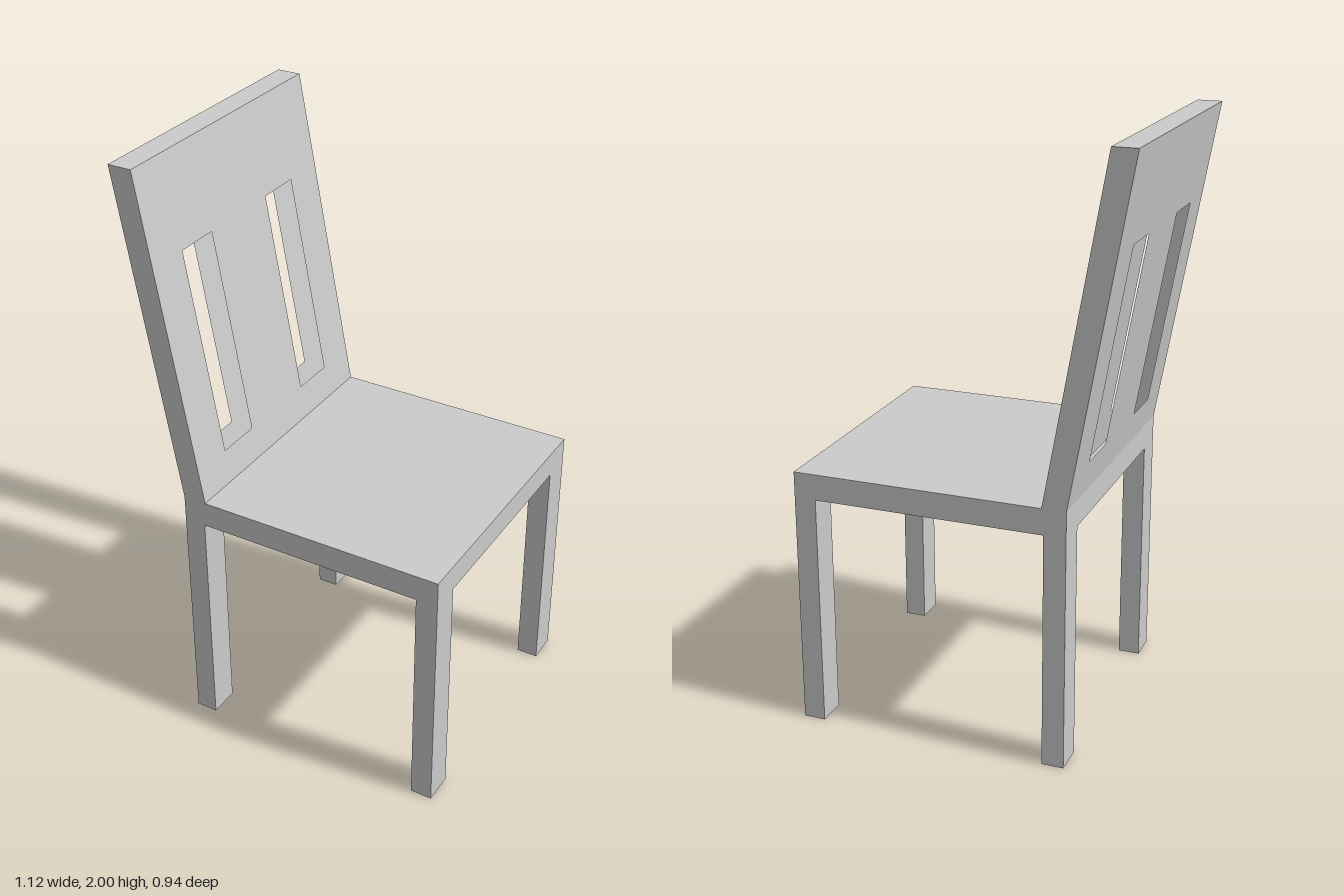
import * as THREE from 'three';

const SEAT_TOP = 0.888, SEAT_BOTTOM = 0.8, HALF = 0.468;
const LEG_X = 0.074, LEG_Z = 0.105;
const BACK_X = -0.365, FRONT_X = 0.562;

const material = new THREE.MeshStandardMaterial({ color: 0xcccccc, side: THREE.DoubleSide, flatShading: true });

function rectangle(x0, y0, x1, y1, Type = THREE.Shape) {
  return new Type([[x0, y0], [x1, y0], [x1, y1], [x0, y1]].map(p => new THREE.Vector2(...p)));
}

// Flat sheet spanning the full width between two side-profile points (x, y).
// Its outer face is on the left of the direction of travel.
function sheet(name, [ax, ay], [bx, by], slots = []) {
  const shape = rectangle(-HALF, 0, HALF, 1);
  for (const [z0, z1, y0, y1] of slots) {
    const t0 = (y0 - ay) / (by - ay), t1 = (y1 - ay) / (by - ay);
    shape.holes.push(rectangle(z0, t0, z1, t1, THREE.Path));
  }
  const geometry = new THREE.ShapeGeometry(shape);
  const pos = geometry.attributes.position;
  for (let i = 0; i < pos.count; i++) {
    const z = pos.getX(i), t = pos.getY(i);
    pos.setXYZ(i, ax + (bx - ax) * t, ay + (by - ay) * t, z);
  }
  geometry.computeVertexNormals();
  const mesh = new THREE.Mesh(geometry, material);
  mesh.name = name;
  return mesh;
}

export function createModel() {
  const chair = new THREE.Group();
  chair.name = 'chair';

  // Side profile of the hollow seat and leaning backrest
  const profile = [
    [-0.563, 2], [-0.481, 2], [-0.284, SEAT_TOP], [FRONT_X, SEAT_TOP],
    [FRONT_X, SEAT_BOTTOM], [BACK_X, SEAT_BOTTOM], [BACK_X, SEAT_TOP],
  ];
  const [topRear, topFront, seatRear, seatFront, frontLow, rearLow, rearHigh] = profile;

  // Two slots cut through both skins of the backrest, without inner walls
  const slots = [[-0.313, -0.156, 1, 1.69], [0.156, 0.315, 1, 1.69]];
  chair.add(
    sheet('backrestTop', topRear, topFront),
    sheet('backrestFront', topFront, seatRear, slots),
    sheet('backrestRear', rearHigh, topRear, slots),
    sheet('seatTop', seatRear, seatFront),
    sheet('seatFrontEdge', seatFront, frontLow),
    sheet('seatRearEdge', rearLow, rearHigh),
  );

  // Side panels
  const sideShape = new THREE.Shape(profile.map(p => new THREE.Vector2(...p)));
  const sideGeometry = new THREE.ShapeGeometry(sideShape);
  for (const s of [1, -1]) {
    const side = new THREE.Mesh(sideGeometry, material);
    side.name = s > 0 ? 'frontSidePanel' : 'rearSidePanel';
    side.position.z = s * HALF;
    side.scale.z = s;
    chair.add(side);
  }

  // Seat underside, notched at the corners for the legs
  const x0 = BACK_X, x1 = FRONT_X, a = x0 + LEG_X, b = x1 - LEG_X, c = HALF - LEG_Z;
  const under = new THREE.Shape([
    [a, -HALF], [b, -HALF], [b, -c], [x1, -c], [x1, c], [b, c],
    [b, HALF], [a, HALF], [a, c], [x0, c], [x0, -c], [a, -c],
  ].map(p => new THREE.Vector2(...p)));
  const underside = new THREE.Mesh(new THREE.ShapeGeometry(under).rotateX(Math.PI / 2), material);
  underside.name = 'seatUnderside';
  underside.position.y = SEAT_BOTTOM;
  chair.add(underside);

  // Four square-cut legs
  const legGeometry = new THREE.BoxGeometry(LEG_X, SEAT_BOTTOM, LEG_Z);
  for (const x of [x0 + LEG_X / 2, x1 - LEG_X / 2]) {
    for (const s of [1, -1]) {
      const leg = new THREE.Mesh(legGeometry, material);
      leg.name = 'leg';
      leg.position.set(x, SEAT_BOTTOM / 2, s * (HALF - LEG_Z / 2));
      chair.add(leg);
    }
  }
  return chair;
}
